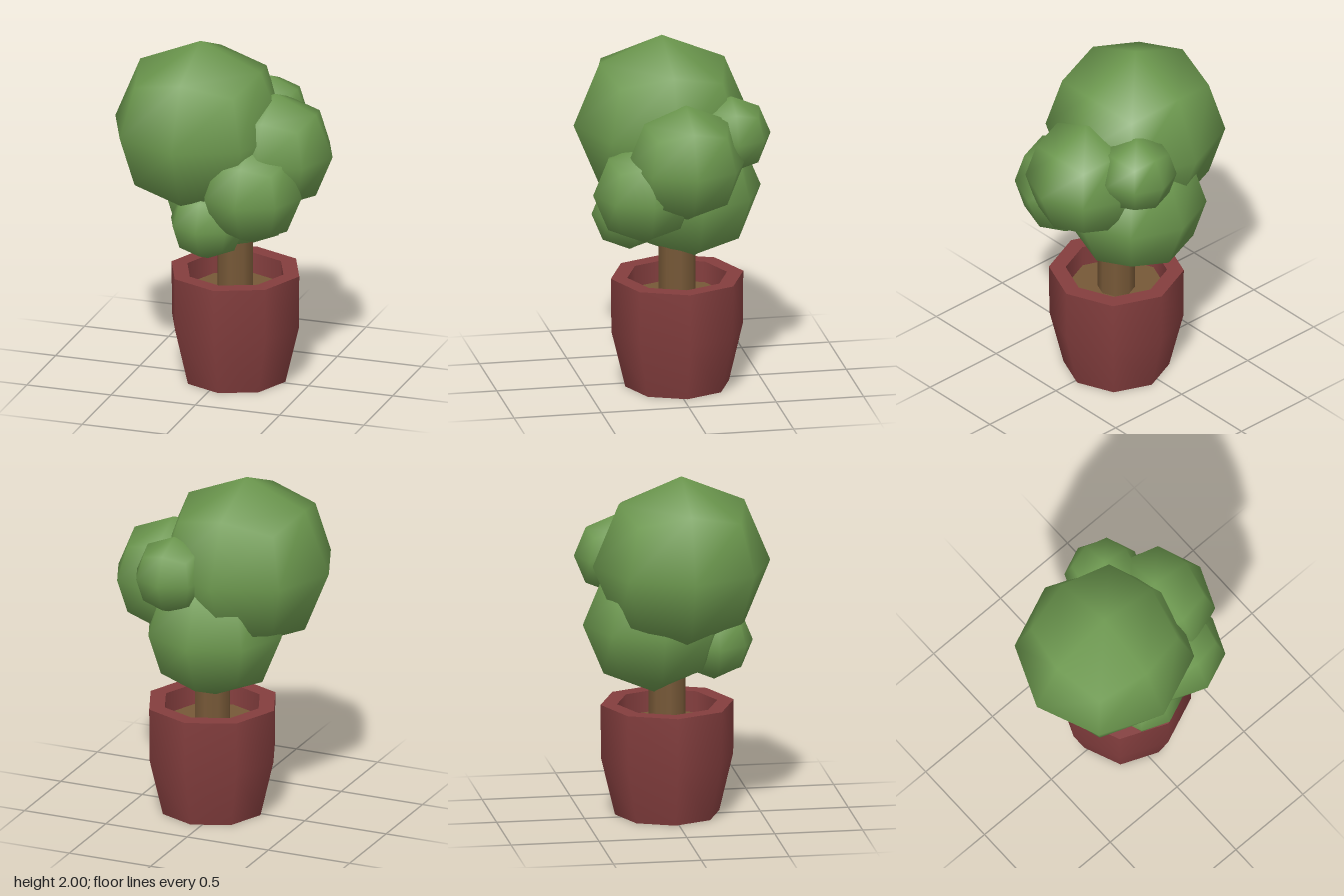
import * as THREE from 'three';

const flat = (name, color) => {
  const m = new THREE.MeshStandardMaterial({ color });
  m.name = name;
  return m;
};

// Unit ball made from a 2x2x2 cube pushed out to a sphere, smooth shaded
function ballGeometry() {
  const g = new THREE.BoxGeometry(1, 1, 1, 2, 2, 2);
  const p = g.attributes.position;
  const v = new THREE.Vector3();
  for (let i = 0; i < p.count; i++) {
    v.fromBufferAttribute(p, i).normalize();
    p.setXYZ(i, v.x, v.y, v.z);
    g.attributes.normal.setXYZ(i, v.x, v.y, v.z);
  }
  return g;
}

// Eight-sided ring surface from a short [radius, height] profile
function ring(name, profile, material) {
  const points = profile.map(([r, y]) => new THREE.Vector2(r, y));
  const mesh = new THREE.Mesh(new THREE.LatheGeometry(points, 8), material);
  mesh.name = name;
  return mesh;
}

export function createModel() {
  const leaf = flat('leaf green', 0x6c984e);
  const clay = flat('pot red', 0x843e3e);
  const wood = flat('wood brown', 0x765837);

  const model = new THREE.Group();
  model.name = 'pottedTree';

  // Pot: separate surfaces keep the rim and base edges sharp
  const pot = new THREE.Group();
  pot.name = 'pot';
  pot.position.set(0.06, 0, -0.02);
  pot.add(
    ring('potBase', [[0, 0], [0.297, 0]], clay),
    ring('potWall', [[0.297, 0], [0.376, 0.33], [0.379, 0.64]], clay),
    ring('potRim', [[0.379, 0.64], [0.285, 0.64]], clay),
    ring('potInside', [[0.285, 0.64], [0.28, 0.5]], clay),
    ring('soil', [[0.282, 0.52], [0, 0.52]], wood)
  );
  model.add(pot);

  // Trunk
  const trunk = new THREE.Mesh(new THREE.CylinderGeometry(0.105, 0.105, 0.5, 8), wood);
  trunk.name = 'trunk';
  trunk.position.set(0.06, 0.75, -0.02);
  model.add(trunk);

  // Foliage: overlapping balls as [name, x, y, z, radius]
  const ball = ballGeometry();
  const foliage = new THREE.Group();
  foliage.name = 'foliage';
  [
    ['crownBall', -0.13, 1.495, 0.03, 0.505],
    ['lowerBall', 0, 1.125, -0.105, 0.405],
    ['leftBall', 0.295, 1.375, -0.025, 0.34],
    ['frontLeftBall', 0.233, 1.195, 0.2, 0.295],
    ['frontLowBall', -0.015, 1.005, 0.235, 0.22],
    ['backBall', 0.168, 1.485, -0.307, 0.226]
  ].forEach(([name, x, y, z, r]) => {
    const mesh = new THREE.Mesh(ball, leaf);
    mesh.name = name;
    mesh.position.set(x, y, z);
    mesh.scale.setScalar(r);
    foliage.add(mesh);
  });
  model.add(foliage);

  return model;
}
